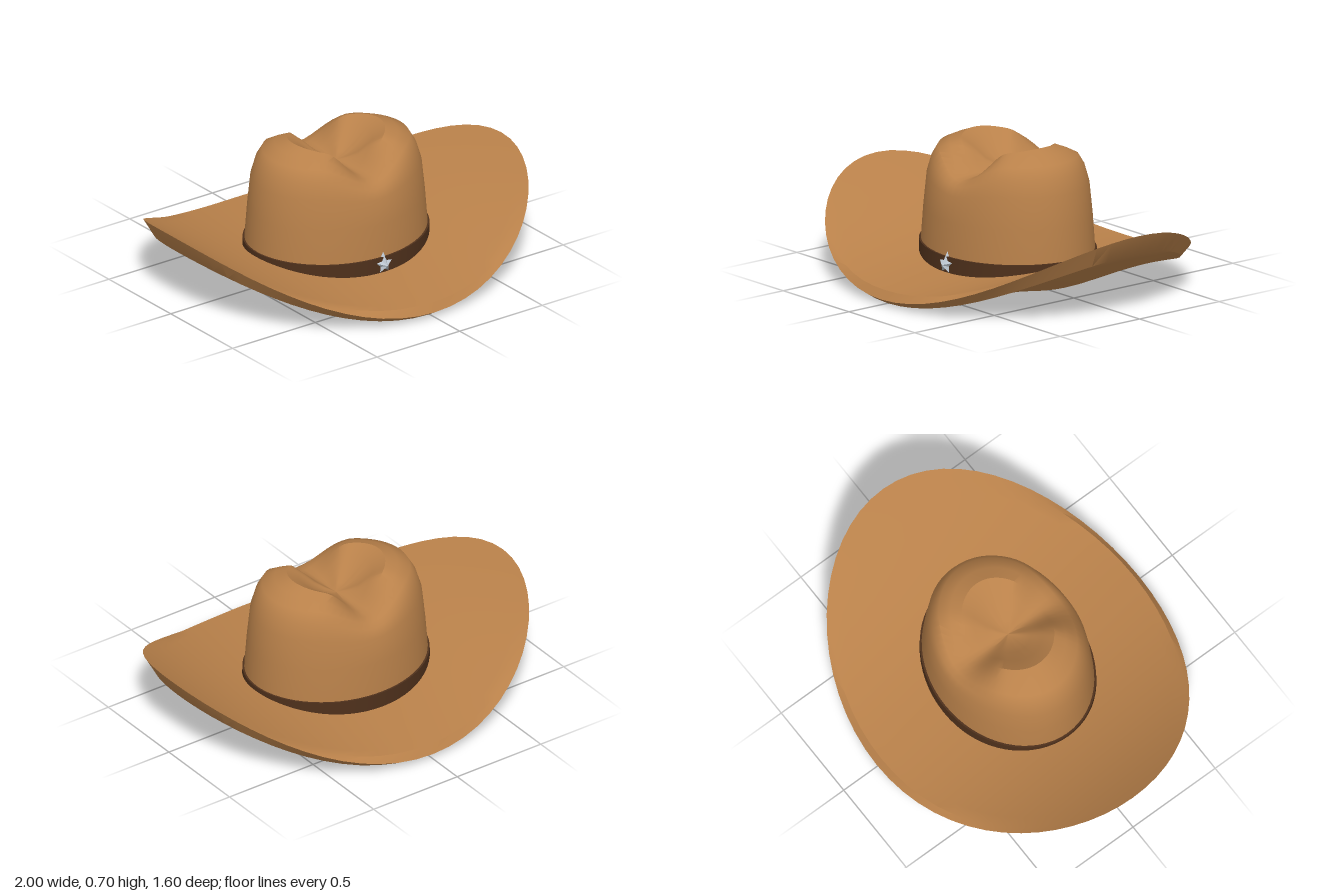
import * as THREE from 'three';
import { toCreasedNormals } from 'three/addons/utils/BufferGeometryUtils.js';

const SEG = 64;
const lerp = THREE.MathUtils.lerp;

// Skin a surface through closed rings; each ring maps (cos, sin) to [x, y, z].
function skin(rings, crease) {
  const pos = [], idx = [];
  for (const ring of rings) {
    for (let j = 0; j < SEG; j++) {
      const t = (j / SEG) * Math.PI * 2;
      pos.push(...ring(Math.cos(t), Math.sin(t)));
    }
  }
  const at = (i) => new THREE.Vector3().fromArray(pos, i * 3);
  const add = (a, b, c) => {
    const n = at(b).sub(at(a)).cross(at(c).sub(at(a)));
    if (n.length() > 1e-9) idx.push(a, b, c);
  };
  for (let i = 0; i < rings.length - 1; i++) {
    for (let j = 0; j < SEG; j++) {
      const k = (j + 1) % SEG;
      const a = i * SEG + j, b = i * SEG + k;
      add(a, a + SEG, b);
      add(b, a + SEG, b + SEG);
    }
  }
  const g = new THREE.BufferGeometry();
  g.setAttribute('position', new THREE.Float32BufferAttribute(pos, 3));
  g.setIndex(idx);
  return toCreasedNormals(g, crease);
}

// Brim: swept up at the sides, drooping at front and back, open in the middle.
function brimGeometry() {
  const inner = [0.43, 0.34], steps = 8, rings = [];
  const under = (s) => (c, n) => [
    lerp(inner[0], 0.945, s) * c,
    lerp(0.04, 0.003 + 0.307 * c * c, Math.pow(s, 1.15)),
    lerp(inner[1], 0.755, s) * n,
  ];
  const top = (s) => (c, n) => {
    const x = lerp(inner[0], 0.97, s) * c, z = lerp(inner[1], 0.772, s) * n;
    return [x, 0.105 + 0.315 * Math.pow(Math.abs(x), 2.3) - 0.055 * z * z, z];
  };
  for (let i = 0; i <= steps; i++) rings.push(under(i / steps));
  rings.push((c, n) => [c, 0.03 + 0.39 * c * c, 0.8 * n]); // outer edge
  for (let i = steps; i >= 0; i--) rings.push(top(i / steps));
  rings.push(under(0)); // wall of the head opening
  return skin(rings, 0.6);
}

// Crown: [side radius, side height, front radius, front height, ridge fall-off]
function crownGeometry() {
  const profile = [
    [0, 0.1, 0, 0.1, 0],
    [0.477, 0.1, 0.385, 0.1, 0],
    [0.475, 0.19, 0.381, 0.19, 0],
    [0.462, 0.35, 0.371, 0.34, 0],
    [0.445, 0.51, 0.356, 0.47, 0],
    [0.42, 0.59, 0.335, 0.515, 0],
    [0.385, 0.65, 0.305, 0.535, 0.01],
    [0.32, 0.68, 0.255, 0.542, 0.02],
    [0.255, 0.705, 0.205, 0.546, 0.035],
    [0.19, 0.665, 0.15, 0.547, 0.03],
    [0.12, 0.605, 0.1, 0.548, 0.015],
    [0.06, 0.57, 0.05, 0.549, 0],
    [0, 0.55, 0, 0.55, 0],
  ];
  return skin(profile.map(([rx, ySide, rz, yFront, fall]) => (c, n) => {
    const w = THREE.MathUtils.smoothstep(Math.abs(c), 0, 0.7);
    return [rx * c, lerp(yFront, ySide - fall * n * n, w), rz * n];
  }), 0.7);
}

// Band: thin strip hugging the base of the crown.
function bandGeometry() {
  const ring = (rx, rz, y, rise) => (c, n) => [rx * c, y + rise * c * c, rz * n];
  return skin([
    ring(0.47, 0.375, 0.088, 0),
    ring(0.486, 0.393, 0.088, 0),
    ring(0.484, 0.391, 0.175, 0.012),
    ring(0.465, 0.372, 0.175, 0.012),
  ], 0.6);
}

// Star: a ten-sided cone with every other rim corner pulled in.
function starGeometry() {
  const g = new THREE.ConeGeometry(0.065, 0.038, 10, 1, false, Math.PI).toNonIndexed();
  const p = g.attributes.position;
  for (let i = 0; i < p.count; i++) {
    const x = p.getX(i), z = p.getZ(i);
    if (Math.hypot(x, z) < 0.01) continue;
    const corner = Math.round((Math.atan2(x, z) + Math.PI) / (Math.PI / 5));
    if (corner % 2) {
      p.setX(i, x * 0.52);
      p.setZ(i, z * 0.52);
    }
  }
  g.rotateX(Math.PI / 2);
  g.computeVertexNormals();
  return g;
}

export function createModel() {
  const material = (name, color) => {
    const m = new THREE.MeshStandardMaterial({ color });
    m.name = name;
    return m;
  };
  const felt = material('tan felt', 0xb9814a);
  const leather = material('dark brown leather', 0x4e301b);
  const silver = material('silver', 0xbcc6d0);

  const group = new THREE.Group();
  group.name = 'wideBrimmedHat';
  const add = (name, geometry, mat) => {
    const mesh = new THREE.Mesh(geometry, mat);
    mesh.name = name;
    group.add(mesh);
    return mesh;
  };
  add('brim', brimGeometry(), felt);
  add('crown', crownGeometry(), felt);
  add('band', bandGeometry(), leather);
  add('starBadge', starGeometry(), silver).position.set(0, 0.135, 0.399);
  return group;
}
